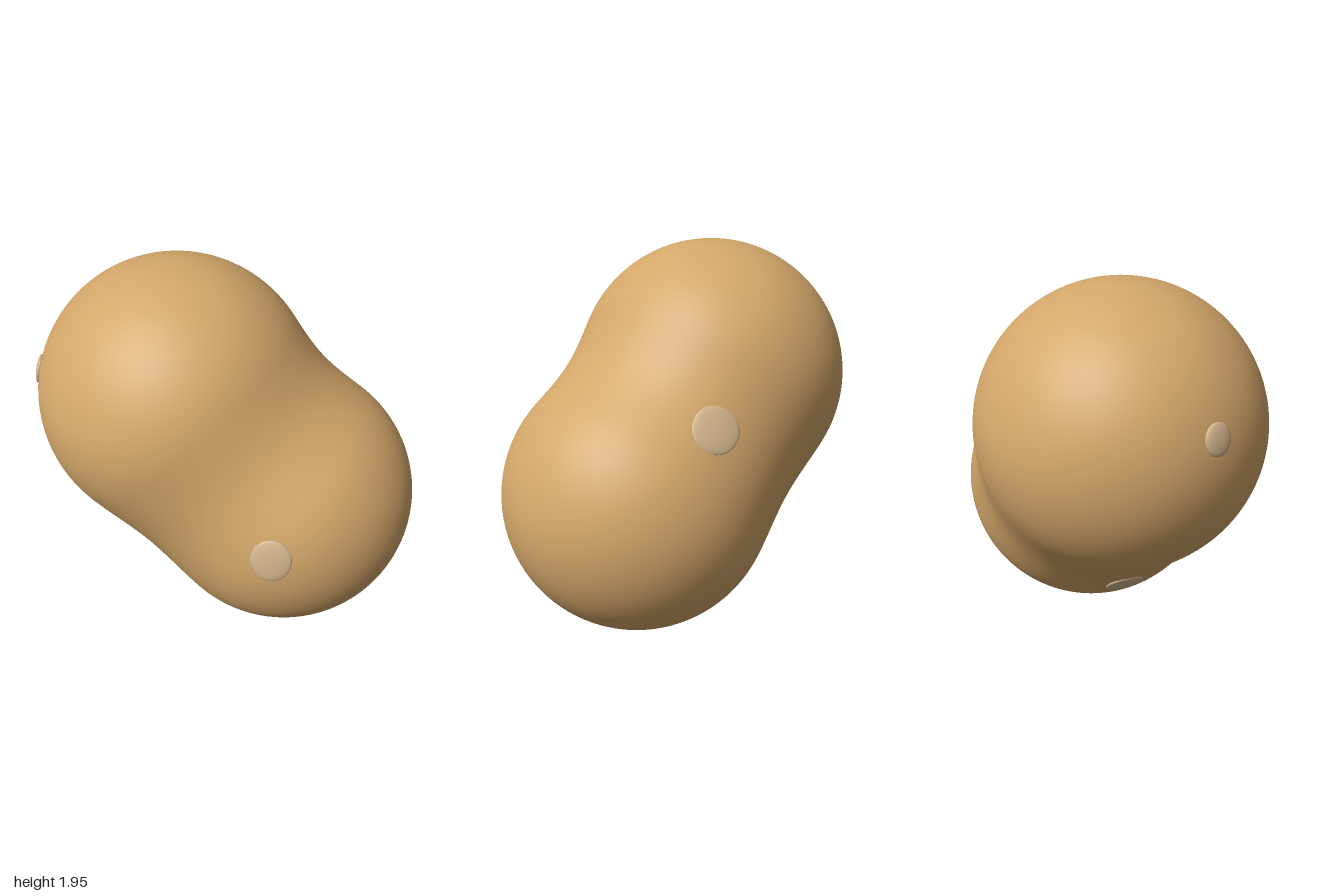
import * as THREE from 'three';
import { mergeVertices } from 'three/addons/utils/BufferGeometryUtils.js';

const upperLobe = { center: new THREE.Vector3(-0.28, 1.23, 0), radius: 0.72 };
const lowerLobe = { center: new THREE.Vector3(0.3, 0.7, 0), radius: 0.7 };
const middle = new THREE.Vector3(0.01, 0.965, 0);
const across = new THREE.Vector3(0.674, 0.738, 0);

// Distance to two spheres blended together, with a fuller blend on the lower side of the waist
function bodyDistance(p) {
  const a = p.distanceTo(upperLobe.center) - upperLobe.radius;
  const b = p.distanceTo(lowerLobe.center) - lowerLobe.radius;
  const k = 0.3 - 0.07 * p.clone().sub(middle).dot(across);
  const h = Math.max(k - Math.abs(a - b), 0) / k;
  return Math.min(a, b) - (h * h * k) / 4;
}

// Surface point found along a ray from the middle of the body
function surfacePoint(direction) {
  const at = (t) => middle.clone().addScaledVector(direction, t);
  let near = 0.3, far = 1.5;
  for (let i = 0; i < 30; i++) {
    const t = (near + far) / 2;
    if (bodyDistance(at(t)) < 0) near = t;
    else far = t;
  }
  return at(near);
}

function surfaceNormal(p) {
  const slope = (axis) => {
    const d = new THREE.Vector3().setComponent(axis, 0.001);
    return bodyDistance(p.clone().add(d)) - bodyDistance(p.clone().sub(d));
  };
  return new THREE.Vector3(slope(0), slope(1), slope(2)).normalize();
}

function bodyGeometry() {
  let geometry = new THREE.IcosahedronGeometry(1, 24);
  geometry.deleteAttribute('uv');
  geometry.deleteAttribute('normal');
  geometry = mergeVertices(geometry, 1e-4);
  const position = geometry.attributes.position;
  const v = new THREE.Vector3();
  for (let i = 0; i < position.count; i++) {
    const p = surfacePoint(v.fromBufferAttribute(position, i).normalize());
    position.setXYZ(i, p.x, p.y, p.z);
  }
  geometry.computeVertexNormals();
  return geometry;
}

export function createModel() {
  const skin = new THREE.MeshStandardMaterial({ color: 0xd4a76a });
  skin.name = 'skin';
  const paleSpot = new THREE.MeshStandardMaterial({ color: 0xd2b48c });
  paleSpot.name = 'paleSpot';

  const model = new THREE.Group();
  model.name = 'tuber';

  const body = new THREE.Mesh(bodyGeometry(), skin);
  body.name = 'body';
  model.add(body);

  // Flattened round spots lying on the skin
  const spots = [
    { name: 'frontSpot', at: [0.4, 0.83, 0.68], size: [0.1, 0.115] },
    { name: 'rightSpot', at: [-0.925, 1.385, 0.225], size: [0.07, 0.075] },
    { name: 'backSpot', at: [0.36, 1.2, -0.57], size: [0.12, 0.115] },
    { name: 'undersideSpot', at: [-0.33, 0.29, 0.02], size: [0.1, 0.125] },
  ];
  const spotGeometry = new THREE.SphereGeometry(1, 32, 16);
  for (const { name, at, size } of spots) {
    const p = surfacePoint(new THREE.Vector3(...at).sub(middle).normalize());
    const spot = new THREE.Mesh(spotGeometry, paleSpot);
    spot.name = name;
    spot.position.copy(p);
    spot.lookAt(p.clone().add(surfaceNormal(p)));
    spot.scale.set(size[0], size[1], 0.018);
    model.add(spot);
  }
  return model;
}
